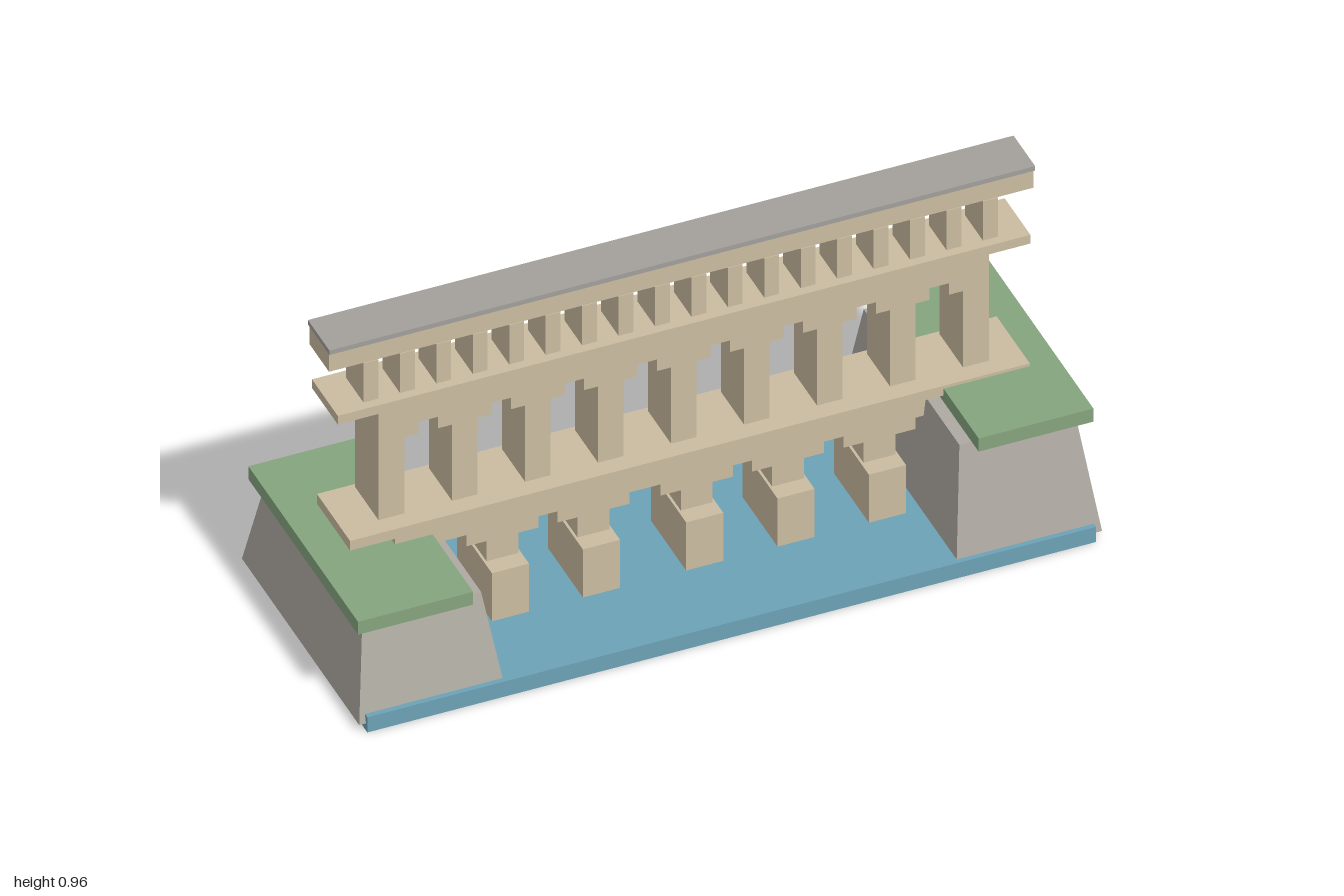
import * as THREE from 'three';

const paint = (name, color) => {
  const m = new THREE.MeshStandardMaterial({ color });
  m.name = name;
  return m;
};

export function createModel() {
  const stone = paint('sandstone', 0xcabca0);
  const rock = paint('bankStone', 0xaeaaa2);
  const slate = paint('roofSlate', 0xa3a09c);
  const grass = paint('grass', 0x85a47e);
  const water = paint('water', 0x6ca2b6);

  const bridge = new THREE.Group();
  bridge.name = 'bridge';

  const add = (name, geometry, material) => {
    const mesh = new THREE.Mesh(geometry, material);
    mesh.name = name;
    bridge.add(mesh);
    return mesh;
  };
  // box given by its limits on each axis
  const box = (name, material, x0, x1, y0, y1, z0, z1) => {
    const mesh = add(name, new THREE.BoxGeometry(x1 - x0, y1 - y0, z1 - z0), material);
    mesh.position.set((x0 + x1) / 2, (y0 + y1) / 2, (z0 + z1) / 2);
    return mesh;
  };
  // wall cut from an x-y outline, running from z0 to z1
  const wall = (name, points, z0, z1) => {
    const shape = new THREE.Shape(points.map(([x, y]) => new THREE.Vector2(x, y)));
    const geo = new THREE.ExtrudeGeometry(shape, { depth: z1 - z0, bevelEnabled: false });
    geo.translate(0, 0, z0);
    return add(name, geo, stone);
  };
  // river bank with sloping sides
  const bank = (name, base, top, y1) => {
    const geo = new THREE.BoxGeometry(1, 1, 1);
    const p = geo.attributes.position;
    for (let i = 0; i < p.count; i++) {
      const up = p.getY(i) > 0;
      const [x0, x1, z] = up ? top : base;
      p.setXYZ(i, p.getX(i) < 0 ? x0 : x1, up ? y1 : 0.022, p.getZ(i) < 0 ? -z : z);
    }
    geo.computeVertexNormals();
    add(name, geo, rock);
  };

  // river and banks
  box('water', water, -0.982, 0.98, 0, 0.047, -0.377, 0.377);
  bank('rightBank', [-1, -0.608, 0.368], [-0.965, -0.645, 0.305], 0.286);
  bank('leftBank', [0.608, 1, 0.368], [0.645, 0.957, 0.3], 0.35);
  box('rightGrass', grass, -0.993, -0.683, 0.285, 0.325, -0.344, 0.344);
  box('leftGrass', grass, 0.678, 0.987, 0.35, 0.391, -0.344, 0.344);

  // piers, and the stepped arch wall they carry
  const piers = [-0.495, -0.25, 0.028, 0.274, 0.52];
  const arches = [[0.79, 0.37], [-0.785, 0.37], [-0.785, 0.295]];
  for (const x of piers) {
    box('pier', stone, x - 0.05, x + 0.05, 0.045, 0.197, -0.08, 0.14);
    arches.push(
      [x - 0.097, 0.295], [x - 0.097, 0.26], [x - 0.043, 0.26], [x - 0.043, 0.197],
      [x + 0.043, 0.197], [x + 0.043, 0.26], [x + 0.097, 0.26], [x + 0.097, 0.295]
    );
  }
  arches.push([0.79, 0.295]);
  wall('lowerArches', arches, -0.05, 0.09);
  box('deck', stone, -0.92, 0.91, 0.37, 0.4, -0.084, 0.124);

  // arcade of nine columns joined by stepped arches
  const arcade = [[0.822, 0.74], [-0.822, 0.74], [-0.822, 0.4]];
  const bay = 0.1965;
  for (let i = 0; i < 8; i++) {
    const x = (i - 3.5) * bay;
    arcade.push(
      [x - 0.064, 0.4], [x - 0.064, 0.638], [x - 0.026, 0.638], [x - 0.026, 0.674],
      [x + 0.026, 0.674], [x + 0.026, 0.638], [x + 0.064, 0.638], [x + 0.064, 0.4]
    );
  }
  arcade.push([0.822, 0.4]);
  wall('arcade', arcade, -0.072, 0.074);
  box('cornice', stone, -0.935, 0.93, 0.738, 0.765, -0.08, 0.082);

  // gallery of small posts under the roof
  for (let i = 0; i < 18; i++) {
    const x = -0.835 + i * 0.0981;
    box('galleryPost', stone, x - 0.02, x + 0.02, 0.765, 0.887, -0.054, 0.057);
  }
  box('roofBeam', stone, -0.95, 0.947, 0.893, 0.951, -0.06, 0.062);
  box('roofCap', slate, -0.952, 0.948, 0.951, 0.965, -0.066, 0.069);

  return bridge;
}
